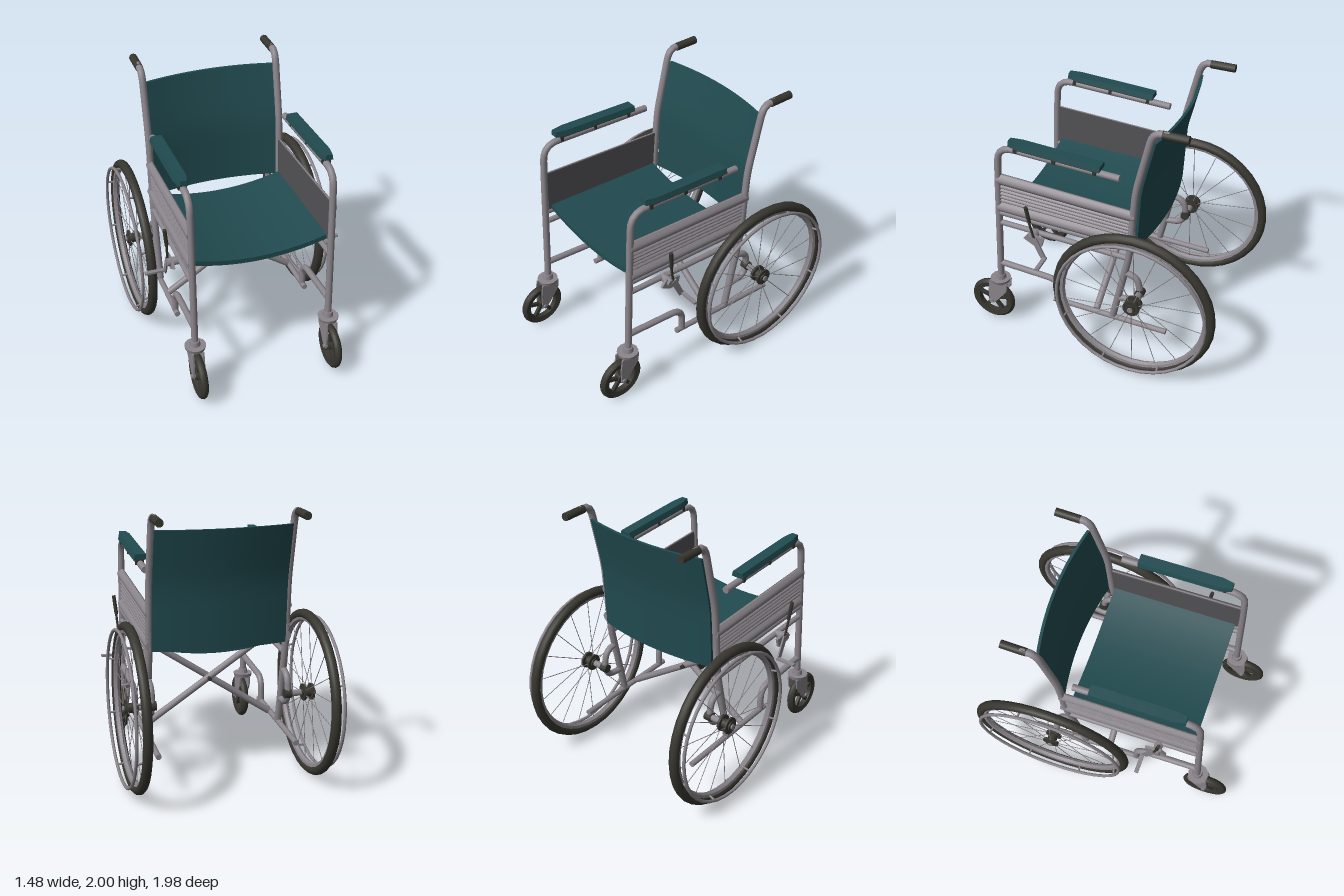
import * as THREE from 'three';
import { mergeGeometries } from 'three/addons/utils/BufferGeometryUtils.js';
import { toCreasedNormals } from 'three/addons/utils/BufferGeometryUtils.js';

const mat = (name, color, side = THREE.FrontSide) => {
  const m = new THREE.MeshStandardMaterial({ color, side });
  m.name = name;
  return m;
};
const V = (x, y, z) => new THREE.Vector3(x, y, z);

export function createModel() {
  const metal = mat('metal', 0x8a858b);
  const panelGrey = mat('panelGrey', 0x535255);
  const rubber = mat('rubber', 0x37362f);
  const fabric = mat('fabric', 0x214b50);
  const root = new THREE.Group();
  root.name = 'wheelchair';
  const FX = 0.505; // side frame plane
  const WX = 0.655, WY = 0.614, WZ = -0.378; // rear wheel centre

  const add = (parent, name, geo, material) => {
    const m = new THREE.Mesh(geo, material);
    m.name = name;
    parent.add(m);
    return m;
  };
  // Straight round bar between two points
  const rodGeo = (a, b, r, sides = 12) => {
    const d = b.clone().sub(a);
    const g = new THREE.CylinderGeometry(r, r, d.length(), sides);
    g.applyQuaternion(new THREE.Quaternion().setFromUnitVectors(V(0, 1, 0), d.normalize()));
    const c = a.clone().add(b).multiplyScalar(0.5);
    return g.translate(c.x, c.y, c.z);
  };
  const rod = (p, name, a, b, r, m, sides) => add(p, name, rodGeo(a, b, r, sides), m);
  // Bent pipe through points with rounded corners and closed ends
  const pipe = (p, name, pts, r, bend, m) => {
    const path = new THREE.CurvePath();
    let from = pts[0];
    for (let i = 1; i < pts.length - 1; i++) {
      const toward = (q) => pts[i].clone().add(q.clone().sub(pts[i]).setLength(
        Math.min(bend, q.distanceTo(pts[i]) * 0.48)));
      const a = toward(pts[i - 1]), b = toward(pts[i + 1]);
      path.add(new THREE.LineCurve3(from, a));
      path.add(new THREE.QuadraticBezierCurve3(a, pts[i], b));
      from = b;
    }
    path.add(new THREE.LineCurve3(from, pts[pts.length - 1]));
    const cap = (t) => {
      const c = path.getPointAt(t), d = path.getTangentAt(t).multiplyScalar(0.001);
      return rodGeo(c.clone().sub(d), c.clone().add(d), r, 12);
    };
    return add(p, name, mergeGeometries([new THREE.TubeGeometry(path, 48, r, 12), cap(0), cap(1)]), m);
  };
  // Ring about the x axis, from a closed (radius, offset) section
  const ring = (section, n) => {
    const pts = [...section, section[0]].map(([r, o]) => new THREE.Vector2(r, o));
    return toCreasedNormals(new THREE.LatheGeometry(pts, n).rotateZ(-Math.PI / 2), 0.8);
  };
  // Flat plate drawn in (z, y), with its thickness along x and centred on x
  const plate = (outline, x, t) => {
    const shape = new THREE.Shape(outline.map(([z, y]) => new THREE.Vector2(-z, y)));
    return new THREE.ExtrudeGeometry(shape, { depth: t, bevelEnabled: false })
      .translate(0, 0, -t / 2).rotateY(Math.PI / 2).translate(x, 0, 0);
  };
  const shift = (geo, rule) => {
    const p = geo.attributes.position;
    for (let i = 0; i < p.count; i++) {
      const v = rule(V(p.getX(i), p.getY(i), p.getZ(i)));
      p.setXYZ(i, v.x, v.y, v.z);
    }
    return toCreasedNormals(geo, 0.7);
  };

  // Sagging seat sling
  add(root, 'seat', shift(new THREE.BoxGeometry(0.99, 0.036, 0.945, 14, 1, 1).translate(0, 1.067, 0.192), (v) => {
    v.y += 0.043 * (v.z - 0.66) - 0.072 * (1 - (v.x / 0.495) ** 2);
    return v;
  }), fabric);

  // Backrest sling, following the back posts at its edges
  add(root, 'backrest', shift(new THREE.BoxGeometry(0.98, 0.88, 0.02, 14, 8, 1).translate(0, 1.44, 0), (v) => {
    const edge = v.y < 1.47 ? -0.335 - 0.055 * (v.y - 1) : -0.36 - 0.235 * (v.y - 1.47);
    v.z += edge - 0.06 * (1 - (v.x / 0.49) ** 2);
    return v;
  }), fabric);

  // Folding cross brace
  for (const [s, z] of [[1, 0.022], [-1, -0.033]])
    rod(root, 'crossBrace', V(s * 0.49, 1.0, z), V(-s * 0.49, 0.34, z), 0.025, metal);
  rod(root, 'bracePivot', V(0, 0.67, 0.07), V(0, 0.67, -0.08), 0.015, rubber);

  for (const s of [1, -1]) {
    const side = new THREE.Group();
    side.name = s > 0 ? 'leftSide' : 'rightSide';
    root.add(side);
    const P = (z, y, x = FX) => V(s * x, y, z);

    // Frame pipes
    pipe(side, 'frontPostAndArm', [P(0.74, 0.4), P(0.70, 1.36), P(0.685, 1.605), P(-0.22, 1.56)], 0.025, 0.13, metal);
    pipe(side, 'backPost', [P(-0.17, 0.34), P(-0.295, 0.93), P(-0.335, 1.48), P(-0.45, 1.975), P(-0.56, 1.975)], 0.026, 0.09, metal);
    rod(side, 'handGrip', P(-0.515, 1.972), P(-0.695, 1.972), 0.029, rubber);
    pipe(side, 'lowerFrontPipe', [P(0.73, 0.565), P(0.25, 0.53), P(0.245, 0.34)], 0.024, 0.1, metal);
    rod(side, 'lowerRail', P(0.30, 0.342), P(-0.58, 0.307), 0.021, metal);
    rod(side, 'middleRail', P(0.70, 0.945), P(-0.30, 0.9), 0.021, metal);
    rod(side, 'seatRail', P(0.70, 1.035), P(-0.31, 0.995), 0.023, metal);
    pipe(side, 'axleBracket', [P(-0.26, 0.77), P(-0.36, 0.74), P(WZ, WY)], 0.024, 0.08, metal);
    pipe(side, 'axleBracket', [P(-0.2, 0.52), P(-0.34, 0.53), P(WZ, WY)], 0.024, 0.08, metal);

    // Ribbed side panel, with a flat inner skin
    const section = [[0.498, 0]];
    const ribs = [0, 0.09, 0.12, 0.15, 0.18, 0.21, 0.24, 0.33];
    for (let i = 0; i < ribs.length - 1; i++) {
      const h = ribs[i + 1] - ribs[i];
      for (let k = 0; k < 6; k++)
        section.push([0.508 + Math.min(0.028, h * 0.4) * Math.sin(k * Math.PI / 6), ribs[i] + h * k / 6]);
    }
    section.push([0.508, 0.33], [0.498, 0.33]);
    const slope = (v) => {
      const f = (v.z + 0.335) / 1.045;
      v.y = v.y * (0.95 + 0.05 * f) + 0.997 + 0.043 * f;
      return v;
    };
    const panelShape = new THREE.Shape(section.map(([x, y]) => new THREE.Vector2(s * x, y)));
    add(side, 'sidePanel', shift(new THREE.ExtrudeGeometry(panelShape,
      { depth: 1.045, bevelEnabled: false }).translate(0, 0, -0.335), slope), metal);
    add(side, 'panelInnerSkin', shift(new THREE.BoxGeometry(0.006, 0.326, 1.0)
      .translate(s * 0.494, 0.165, 0.187), slope), panelGrey);

    // Armrest pad with a narrower top and nose, on a dark base and mounts
    const arm = new THREE.Group();
    arm.name = 'armrest';
    arm.position.set(s * 0.51, 1.632, 0.248);
    arm.rotation.x = -0.055;
    side.add(arm);
    add(arm, 'armPad', shift(new THREE.BoxGeometry(0.1, 0.04, 0.685, 1, 1, 8).translate(0, 0.012, 0), (v) => {
      if (v.y > 0.012) v.x *= 0.78;
      if (v.z > 0.34) v.x *= 0.6;
      return v;
    }), fabric);
    add(arm, 'armBase', new THREE.BoxGeometry(0.08, 0.012, 0.6).translate(0, -0.013, -0.01), rubber);
    for (const z of [-0.3, 0, 0.29])
      add(arm, 'armMount', new THREE.BoxGeometry(0.06, 0.045, 0.025).translate(0, -0.032, z), rubber);

    // Rear wheel
    const wheel = new THREE.Group();
    wheel.name = 'rearWheel';
    wheel.position.set(s * WX, WY, WZ);
    side.add(wheel);
    add(wheel, 'tyre', new THREE.TorusGeometry(0.574, 0.035, 12, 36).rotateY(Math.PI / 2), rubber);
    add(wheel, 'rim', ring([[0.55, -0.024], [0.55, 0.024], [0.53, 0.02], [0.518, 0], [0.53, -0.02]], 36), metal);
    add(wheel, 'pushRim', new THREE.TorusGeometry(0.555, 0.012, 8, 36).rotateY(Math.PI / 2).translate(s * 0.07, 0, 0), metal);
    add(wheel, 'hub', new THREE.CylinderGeometry(0.036, 0.036, 0.1, 16).rotateZ(Math.PI / 2), rubber);
    for (const x of [-0.03, 0.03])
      add(wheel, 'hubFlange', new THREE.CylinderGeometry(0.062, 0.062, 0.018, 16).rotateZ(Math.PI / 2).translate(x, 0, 0), rubber);
    add(wheel, 'hubCap', new THREE.CylinderGeometry(0.02, 0.02, 0.12, 10).rotateZ(Math.PI / 2), metal);
    const at = (a, r, x) => V(x, r * Math.sin(a), r * Math.cos(a));
    for (let i = 0; i < 18; i++) {
      const a = (i + 0.5) * Math.PI / 9;
      rod(wheel, 'spoke', at(a, 0.05, (i % 2 ? 1 : -1) * 0.03), at(a, 0.53, 0), 0.0028, metal, 5);
    }
    for (let i = 0; i < 8; i++) {
      const a = (i + 0.5) * Math.PI / 4;
      rod(wheel, 'pushRimStud', at(a, 0.535, 0), at(a, 0.552, s * 0.07), 0.008, metal, 6);
    }
    rod(side, 'rearAxle', P(WZ, WY, 0.48), P(WZ, WY, 0.64), 0.024, metal);
    rod(side, 'axleCollar', P(WZ, WY, 0.475), P(WZ, WY, 0.53), 0.034, rubber);

    // Front caster
    const caster = new THREE.Group();
    caster.name = 'caster';
    caster.position.set(s * FX, 0.192, 0.815);
    side.add(caster);
    add(caster, 'casterTyre', ring([[0.115, -0.02], [0.155, -0.027], [0.17, -0.015], [0.175, 0],
      [0.17, 0.015], [0.155, 0.027], [0.115, 0.02]].map(([r, o]) => [r, o]), 24), rubber);
    add(caster, 'casterHub', new THREE.CylinderGeometry(0.035, 0.035, 0.05, 12).rotateZ(Math.PI / 2), rubber);
    for (let i = 0; i < 5; i++)
      add(caster, 'casterSpoke', new THREE.BoxGeometry(0.025, 0.11, 0.026).translate(0, 0.07, 0), rubber)
        .rotation.x = i * Math.PI * 0.4;
    rod(caster, 'casterAxle', V(-0.055, 0, 0), V(0.055, 0, 0), 0.015, metal);
    for (const x of [-0.038, 0.038])
      add(caster, 'forkBlade', plate([[0.005, 0.2], [-0.14, 0.2], [-0.13, 0.12], [-0.02, -0.02], [0.018, -0.015], [0.02, 0.1]], x, 0.012), metal);
    add(caster, 'forkCrown', new THREE.CylinderGeometry(0.078, 0.07, 0.03, 12).translate(0, 0.208, -0.07), metal);
    add(caster, 'forkNeck', new THREE.CylinderGeometry(0.034, 0.04, 0.04, 12).translate(0, 0.24, -0.075), metal);

    // Parking brake
    const brake = new THREE.Group();
    brake.name = 'brake';
    side.add(brake);
    rod(brake, 'brakeClamp', P(0.42, 0.93, 0.5), P(0.42, 0.93, 0.6), 0.03, metal);
    add(brake, 'brakePlate', plate([[0.49, 0.91], [0.45, 0.96], [0.33, 0.94], [0.35, 0.87], [0.42, 0.87]], s * 0.57, 0.02), metal);
    add(brake, 'brakeArm', plate([[0.42, 0.93], [0.38, 0.95], [0.31, 0.79], [0.35, 0.78]], s * 0.595, 0.012), metal);
    rod(brake, 'brakeLever', P(0.4, 0.93, 0.59), P(0.435, 1.12, 0.605), 0.009, rubber, 8);
    rod(brake, 'brakeLeverGrip', P(0.425, 1.08, 0.6), P(0.44, 1.22, 0.615), 0.014, rubber, 8);
    add(brake, 'brakeShoe', new THREE.BoxGeometry(0.15, 0.015, 0.03).translate(s * 0.665, 0.79, 0.32), metal);
  }
  return root;
}
